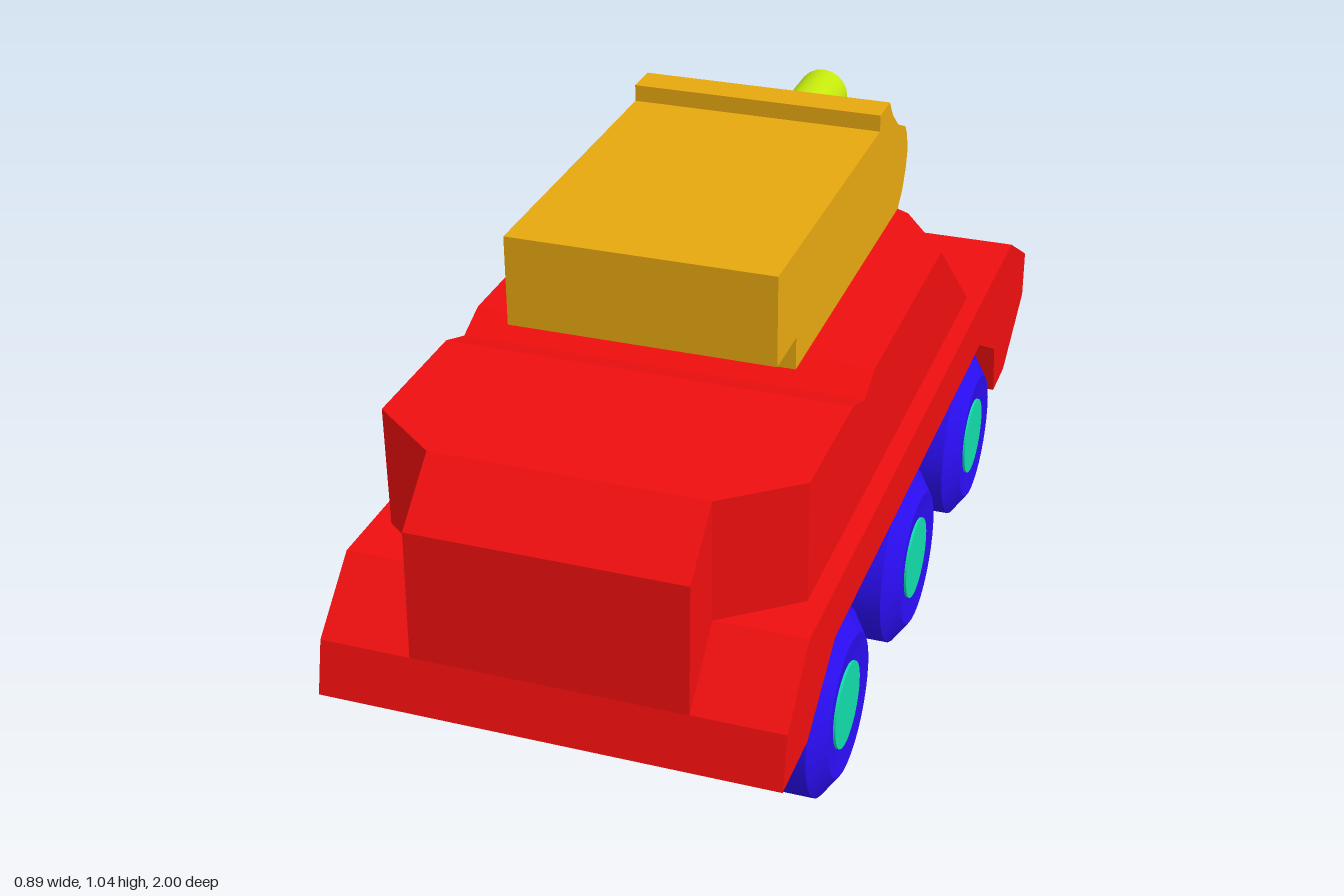
import * as THREE from 'three';
import { toCreasedNormals } from 'three/addons/utils/BufferGeometryUtils.js';
import { ConvexGeometry } from 'three/addons/geometries/ConvexGeometry.js';

const paint = (color) => new THREE.MeshStandardMaterial({ color });
const red = paint(0xee0e0e), yellow = paint(0xe6a80f), lime = paint(0xc4e80c);
const blue = paint(0x2a0df0), mint = paint(0x12dcaa);

// Extrudes a [z, y] side profile across x from x0 to x1
function slab(profile, x0, x1) {
  const shape = new THREE.Shape(profile.map(([z, y]) => new THREE.Vector2(z, y)));
  const geo = new THREE.ExtrudeGeometry(shape, { depth: x1 - x0, bevelEnabled: false });
  return geo.rotateY(-Math.PI / 2).translate(x1, 0, 0);
}

// Convex solid from the points of one half, mirrored in x
function mirroredSolid(points) {
  return new ConvexGeometry(points.flatMap(([x, y, z]) =>
    [new THREE.Vector3(x, y, z), new THREE.Vector3(-x, y, z)]));
}

function createWheel() {
  const wheel = new THREE.Group();
  wheel.name = 'wheel';
  // Tyre profile [radius, offset along the axle], outer face at +offset
  const profile = [[0, -0.083], [0.14, -0.083], [0.184, -0.052], [0.184, 0.052],
    [0.14, 0.083], [0.095, 0.076], [0, 0.076]];
  const tyreGeo = new THREE.LatheGeometry(profile.map(([r, h]) => new THREE.Vector2(r, h)), 32);
  const tyre = new THREE.Mesh(toCreasedNormals(tyreGeo, 0.5), blue);
  tyre.name = 'tyre';
  const hub = new THREE.Mesh(new THREE.CylinderGeometry(0.085, 0.085, 0.05, 32), mint);
  hub.position.y = 0.056;
  hub.name = 'hub';
  wheel.add(tyre, hub);
  return wheel;
}

export function createModel() {
  const model = new THREE.Group();
  model.name = 'armouredVehicle';
  const add = (name, geo, material) => {
    const mesh = new THREE.Mesh(geo, material);
    mesh.name = name;
    model.add(mesh);
    return mesh;
  };

  // Central hull with a groove across the deck
  add('hull', slab([[1, 0.295], [0.975, 0.4], [0.965, 0.66], [0.85, 0.76], [0.46, 0.76],
    [0.38, 0.73], [0.31, 0.76], [-0.4, 0.76], [-0.5, 0.705], [-0.7, 0.515], [-0.9, 0.35],
    [-0.9, 0.245], [-0.81, 0.185], [0.74, 0.185]], -0.265, 0.265), red);

  // Wider upper body on either side of the groove
  add('frontDeck', mirroredSolid([
    [0.405, 0.73, 0.38], [0.405, 0.515, 0.38], [0.405, 0.76, 0.46], [0.405, 0.76, 0.74],
    [0.405, 0.515, 0.74], [0.265, 0.76, 0.85], [0.265, 0.515, 0.85]]), red);
  add('rearDeck', mirroredSolid([
    [0.405, 0.73, 0.38], [0.405, 0.515, 0.38], [0.405, 0.76, 0.31], [0.405, 0.76, -0.22],
    [0.265, 0.76, -0.4], [0.265, 0.705, -0.5], [0.405, 0.515, -0.51], [0.265, 0.515, -0.7]]), red);

  // Side skirts, with end blocks reaching further inwards
  const skirt = [[1, 0.295], [0.85, 0.295], [0.68, 0.405], [-0.5, 0.405], [-0.68, 0.305],
    [-0.7, 0.185], [-0.81, 0.185], [-1, 0.295], [-1, 0.405], [-0.81, 0.515], [0.85, 0.515],
    [0.975, 0.4]];
  const endBlock = [[-0.7, 0.185], [-0.81, 0.185], [-1, 0.295], [-1, 0.405],
    [-0.81, 0.515], [-0.7, 0.515]];
  for (const side of [1, -1]) {
    const span = (a, b) => (side > 0 ? [a, b] : [-b, -a]);
    const label = side > 0 ? 'left' : 'right';
    add(label + 'Skirt', slab(skirt, ...span(0.265, 0.442)), red);
    add(label + 'EndBlock', slab(endBlock, ...span(0.155, 0.265)), red);

    // Three wheels per side
    for (const z of [0.585, 0.055, -0.475]) {
      const wheel = createWheel();
      wheel.name = label + 'Wheel';
      wheel.position.set(side * 0.364, 0.185, z);
      wheel.rotation.z = -side * Math.PI / 2;
      model.add(wheel);
    }
  }

  // Turret with rounded nose and raised lip
  add('turret', toCreasedNormals(slab([[0.48, 1.01], [0.48, 0.827], [0.36, 0.827], [0.36, 0.76],
    [-0.4, 0.76], [-0.435, 0.79], [-0.458, 0.83], [-0.468, 0.87], [-0.458, 0.91],
    [-0.44, 0.935], [-0.375, 0.965], [-0.325, 1.005], [-0.295, 1.045], [-0.22, 1.045],
    [-0.22, 1.01]], -0.265, 0.265), 0.5), yellow);

  // Gun barrel
  const barrel = add('barrel', new THREE.CylinderGeometry(0.057, 0.057, 0.33, 20), lime);
  barrel.rotation.x = Math.PI / 2;
  barrel.position.set(0, 0.868, -0.565);

  return model;
}
